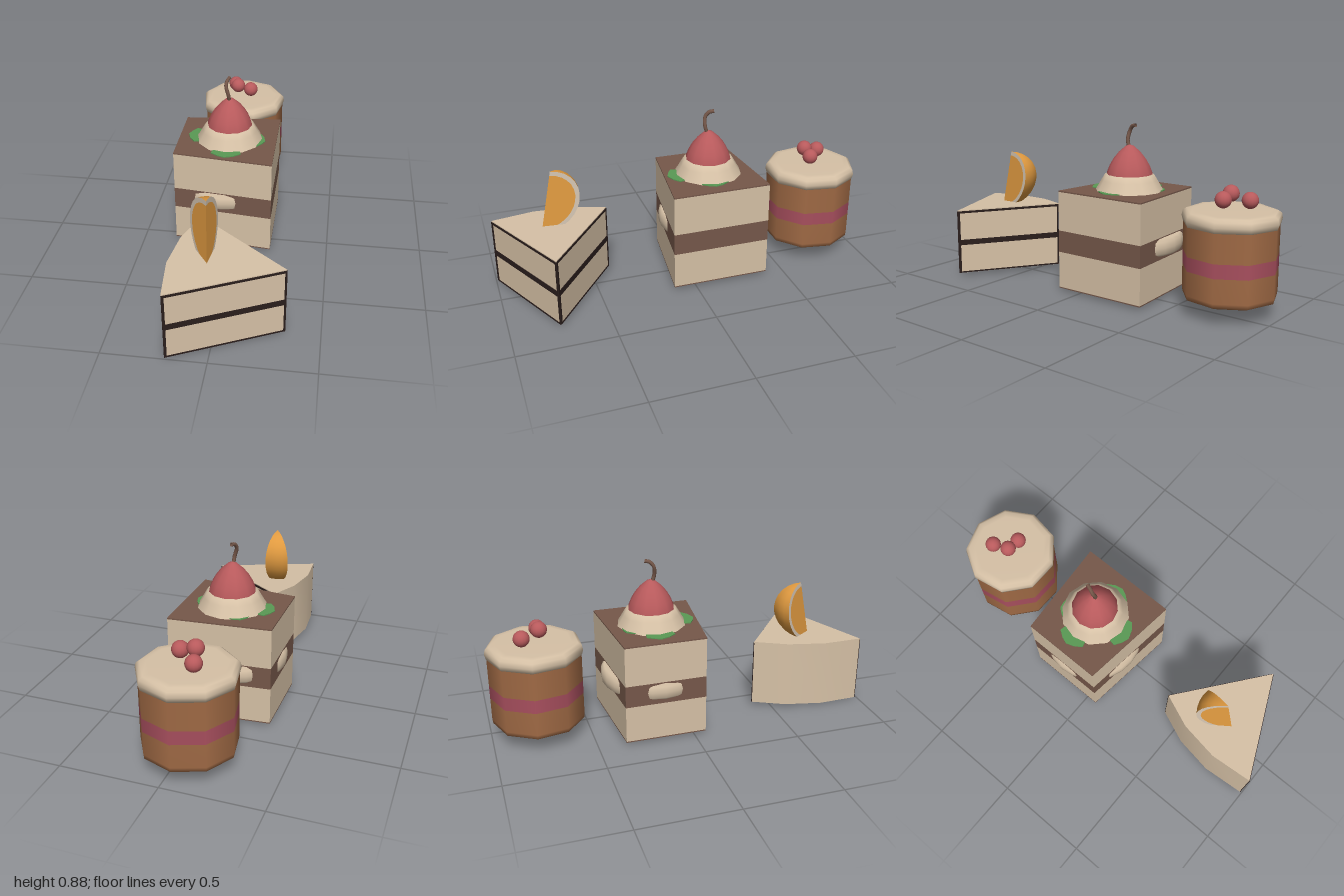
import * as THREE from 'three';
import { toCreasedNormals } from 'three/addons/utils/BufferGeometryUtils.js';

const paint = (name, color, side = THREE.FrontSide) =>
  Object.assign(new THREE.MeshStandardMaterial({ color, side }), { name });

export function createModel() {
  const cream = paint('cream', 0xd6c1a6);
  const brown = paint('chocolate', 0x76584a, THREE.DoubleSide);
  const dark = paint('darkChocolate', 0x2a1e1c);
  const red = paint('cherryRed', 0xb85a5c);
  const orange = paint('orange', 0xe09a40, THREE.DoubleSide);
  const caramel = paint('caramel', 0xa06a45);
  const pink = paint('berryPink', 0xa84f5e);
  const green = paint('leafGreen', 0x5a9a55);
  const pith = paint('pith', 0xd2c3b0, THREE.DoubleSide);

  const model = new THREE.Group();
  model.name = 'desserts';
  const group = (name) => {
    const g = new THREE.Group();
    g.name = name;
    model.add(g);
    return g;
  };
  const add = (parent, name, geometry, material, x = 0, y = 0, z = 0) => {
    const mesh = new THREE.Mesh(geometry, material);
    mesh.name = name;
    mesh.position.set(x, y, z);
    parent.add(mesh);
    return mesh;
  };
  const v2 = (pts) => pts.map(([x, y]) => new THREE.Vector2(x, y));
  // upright prism over a plan outline given as [x, z]
  const prism = (plan, y0, y1) => {
    const shape = new THREE.Shape(v2(plan.map(([x, z]) => [x, -z])));
    return new THREE.ExtrudeGeometry(shape, { depth: y1 - y0, bevelEnabled: false })
      .rotateX(-Math.PI / 2).translate(0, y0, 0);
  };
  const lathe = (pts, sides, start = 0) => new THREE.LatheGeometry(v2(pts), sides, start);

  // ---- cake slice, leaning slightly up towards the back ----
  const slice = group('cakeSlice');
  const lean = (geo) => {
    const p = geo.attributes.position;
    for (let i = 0; i < p.count; i++) p.setY(i, p.getY(i) + 0.04 * (0.99 - p.getZ(i)));
    geo.computeVertexNormals();
    return geo;
  };
  const tip = [0.33, 0.75], frontCorner = [-0.2, 0.99], backCorner = [-0.12, 0.4];
  const plan = [frontCorner, tip, backCorner, [-0.19, 0.57], [-0.22, 0.77]];
  add(slice, 'sliceBody', toCreasedNormals(lean(prism(plan, 0.003, 0.363)), 0.5), cream);

  // filling line and dark border on both cut faces: [t0, t1, y0, y1]
  const strips = [[0, 1, 0.164, 0.194], [0, 1, 0.346, 0.358], [0, 1, 0.004, 0.011],
    [0, 0.022, 0.004, 0.358], [0.985, 1, 0.004, 0.358]];
  for (const [a, b] of [[frontCorner, tip], [tip, backCorner]]) {
    const dx = b[0] - a[0], dz = b[1] - a[1], len = Math.hypot(dx, dz);
    const at = (t, out) => [a[0] + dx * t - dz / len * out, a[1] + dz * t + dx / len * out];
    for (const [t0, t1, y0, y1] of strips) {
      const quad = [at(t0, -0.001), at(t1, -0.001), at(t1, 0.003), at(t0, 0.003)];
      add(slice, 'sliceFilling', lean(prism(quad, y0, y1)), dark);
    }
  }

  // ---- orange wedge standing on the slice ----
  const wedge = group('orangeWedge');
  const R = 0.17, steps = 14;
  // point at angle th round the half disc, in the half plane turned by phi
  const wedgePoint = (phi, r, th) => {
    const along = -Math.cos(th) * r, out = Math.sin(th) * r;
    return [-0.04 - 0.03 * along + Math.sin(phi) * out, 0.5 + along * 0.98,
      0.725 - 0.2 * along - Math.cos(phi) * out];
  };
  // surface between two edge curves, each a function of the angle
  const ribbon = (curves) => {
    const pos = [], index = [], row = steps + 1;
    curves.forEach((c) => {
      for (let i = 0; i <= steps; i++) pos.push(...c(Math.PI * i / steps));
    });
    for (let j = 0; j < curves.length - 1; j++) {
      for (let i = 0; i < steps; i++) {
        const a = j * row + i, b = a + row;
        index.push(a, a + 1, b, b, a + 1, b + 1);
      }
    }
    const g = new THREE.BufferGeometry();
    g.setAttribute('position', new THREE.Float32BufferAttribute(pos, 3));
    g.setIndex(index);
    g.computeVertexNormals();
    return g;
  };
  const left = -0.63, right = 0.16, inner = R * 0.87;
  const arc = (phi, r) => (th) => wedgePoint(phi, r, th);
  const chord = (r) => (th) => {
    const p0 = wedgePoint(0, r, 0), p1 = wedgePoint(0, r, Math.PI), t = (1 - Math.cos(th)) / 2;
    return p0.map((v, k) => v + (p1[k] - v) * t);
  };
  // rows are ordered so that every surface faces outwards
  add(wedge, 'leftFlesh', ribbon([chord(inner), arc(left, inner)]), orange);
  add(wedge, 'rightFlesh', ribbon([arc(right, inner), chord(inner)]), orange);
  add(wedge, 'leftPith', ribbon([arc(left, inner), arc(left, R)]), pith);
  add(wedge, 'rightPith', ribbon([arc(right, R), arc(right, inner)]), pith);
  const rind = [0, 1, 2, 3, 4].map((k) => arc(left + (right - left) * k / 4, R));
  add(wedge, 'rind', ribbon(rind), orange);

  // ---- square layered cake ----
  const cake = group('squareCake');
  const square = [[-0.325, 0.06], [0.197, 0.12], [0.197, -0.4], [-0.325, -0.36]];
  const layers = [['base', 0.018, 0.024, brown], ['lowerSponge', 0.024, 0.215, cream],
    ['chocolateLayer', 0.215, 0.33, brown], ['upperSponge', 0.33, 0.535, cream],
    ['chocolateTop', 0.535, 0.542, brown]];
  for (const [name, y0, y1, material] of layers) add(cake, name, prism(square, y0, y1), material);

  // round filling showing slightly through the sides
  const disc = [[0, 0.235], [0.25, 0.235], [0.265, 0.25], [0.268, 0.28], [0.265, 0.31],
    [0.25, 0.325], [0, 0.325]];
  add(cake, 'roundFilling', lathe(disc, 24), cream, -0.075, 0, -0.155);

  // leaves spread under the cream: [direction, reach, half width]
  const cx = -0.055, cz = -0.15;
  for (const [dir, reach, half] of [[0, 0.225, 0.42], [-1.6, 0.225, 0.4], [1.45, 0.195, 0.45],
    [-2.6, 0.185, 0.4]]) {
    const pts = [[cx, cz]];
    for (const [k, f] of [[-1, 0.74], [-0.9, 0.9], [-0.4, 0.96], [0, 1], [0.5, 0.95], [1, 0.88], [1.1, 0.7]]) {
      const a = dir + k * half;
      pts.push([cx + Math.sin(a) * reach * f, cz + Math.cos(a) * reach * f]);
    }
    add(cake, 'mintLeaf', prism(pts, 0.541, 0.547), green);
  }

  // cream dollop, cherry and stem
  add(cake, 'creamDollop', lathe([[0.178, 0.541], [0.163, 0.565], [0.146, 0.595], [0.128, 0.624],
    [0.1, 0.628]], 12), cream, cx, 0, cz);
  add(cake, 'cherry', lathe([[0.121, 0.61], [0.118, 0.635], [0.104, 0.67], [0.084, 0.705],
    [0.056, 0.74], [0.022, 0.77], [0, 0.778]], 12), red, cx, 0, cz);
  const stem = new THREE.CatmullRomCurve3([[-0.057, 0.76, -0.145], [-0.06, 0.8, -0.133],
    [-0.073, 0.848, -0.138], [-0.068, 0.873, -0.158], [-0.06, 0.878, -0.182]]
    .map((p) => new THREE.Vector3(...p)));
  add(cake, 'cherryStem', new THREE.TubeGeometry(stem, 14, 0.01, 6), brown);

  // ---- nine-sided round dessert ----
  const round = group('roundDessert');
  const ring = (name, pts, material) =>
    add(round, name, lathe(pts, 9, Math.PI), material, -0.055, 0, -0.755);
  ring('lowerCaramel', [[0, 0.085], [0.215, 0.085], [0.233, 0.093], [0.236, 0.115], [0.236, 0.235]], caramel);
  ring('berryBand', [[0.236, 0.235], [0.236, 0.305]], pink);
  ring('upperCaramel', [[0.236, 0.305], [0.236, 0.45]], caramel);
  ring('creamTop', [[0.215, 0.444], [0.238, 0.449], [0.245, 0.475], [0.24, 0.5], [0.222, 0.513],
    [0.19, 0.516], [0, 0.516]], cream);
  for (const [x, y, z] of [[-0.11, 0.56, -0.82], [-0.085, 0.588, -0.73], [-0.01, 0.568, -0.73]]) {
    add(round, 'berry', new THREE.SphereGeometry(0.041, 16, 12), red, x, y, z);
  }
  return model;
}
